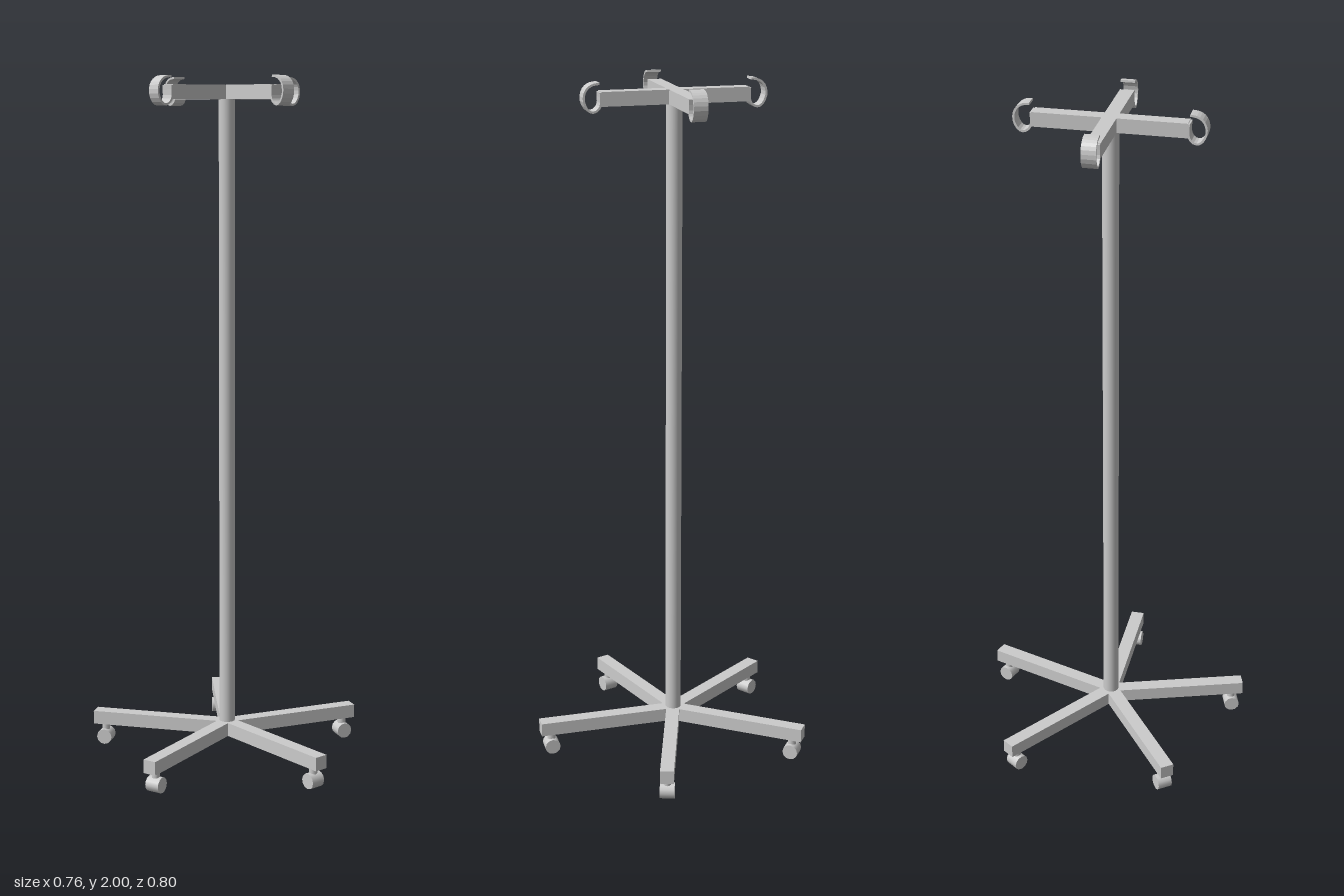
import * as THREE from 'three';

const mat = new THREE.MeshStandardMaterial({ color: 0xcccccc });
const flat = new THREE.MeshStandardMaterial({ color: 0xcccccc, flatShading: true });

function add(parent, name, geometry, x, y, z, material = mat) {
  const mesh = new THREE.Mesh(geometry, material);
  mesh.name = name;
  mesh.position.set(x, y, z);
  parent.add(mesh);
  return mesh;
}

// Curved metal strap: a centre line thickened to both sides and extruded to the arm width
function strapGeometry(points, thickness, width) {
  const curve = new THREE.SplineCurve(points.map(([x, y]) => new THREE.Vector2(x, y)));
  const steps = 18, one = [], other = [];
  for (let i = 0; i <= steps; i++) {
    const p = curve.getPoint(i / steps), t = curve.getTangent(i / steps);
    const n = new THREE.Vector2(-t.y, t.x).multiplyScalar(thickness / 2);
    one.push(p.clone().add(n));
    other.unshift(p.clone().sub(n));
  }
  const g = new THREE.ExtrudeGeometry(new THREE.Shape([...one, ...other]), { depth: width, bevelEnabled: false });
  return g.translate(0, 0, -width / 2);
}

export function createModel() {
  const model = new THREE.Group();
  model.name = 'dripStand';
  const cx = -0.035; // pole axis

  add(model, 'pole', new THREE.CylinderGeometry(0.023, 0.023, 1.85, 24), cx, 1.015, 0);

  // Five-legged base with casters
  const legGeo = new THREE.BoxGeometry(0.414, 0.04, 0.04);
  const stemGeo = new THREE.CylinderGeometry(0.012, 0.012, 0.035, 12);
  const wheelGeo = new THREE.CylinderGeometry(0.023, 0.023, 0.043, 12).rotateX(Math.PI / 2);
  for (let i = 0; i < 5; i++) {
    const leg = new THREE.Group();
    leg.name = 'leg' + (i + 1);
    leg.position.x = cx;
    leg.rotation.y = (i * Math.PI * 2) / 5;
    add(leg, 'legBar', legGeo, 0.207, 0.082, 0);
    add(leg, 'casterStem', stemGeo, 0.381, 0.05, 0);
    add(leg, 'casterWheel', wheelGeo, 0.381, 0.0265 - 0.0035, 0);
    model.add(leg);
  }

  // Four top arms, each ending in a strap hook that curls back inwards
  const armGeo = new THREE.BoxGeometry(0.21, 0.04, 0.04);
  const hookGeo = strapGeometry([
    [0.212, 1.973], [0.211, 1.945], [0.218, 1.928], [0.234, 1.92], [0.249, 1.928],
    [0.259, 1.95], [0.257, 1.972], [0.247, 1.987], [0.232, 1.995], [0.215, 1.997],
  ], 0.006, 0.04);
  for (let i = 0; i < 4; i++) {
    const arm = new THREE.Group();
    arm.name = 'arm' + (i + 1);
    arm.position.x = cx;
    arm.rotation.y = (i * Math.PI) / 2;
    add(arm, 'armBar', armGeo, 0.105, 1.955, 0);
    add(arm, 'hook', hookGeo, 0, 0, 0, flat);
    model.add(arm);
  }
  return model;
}
